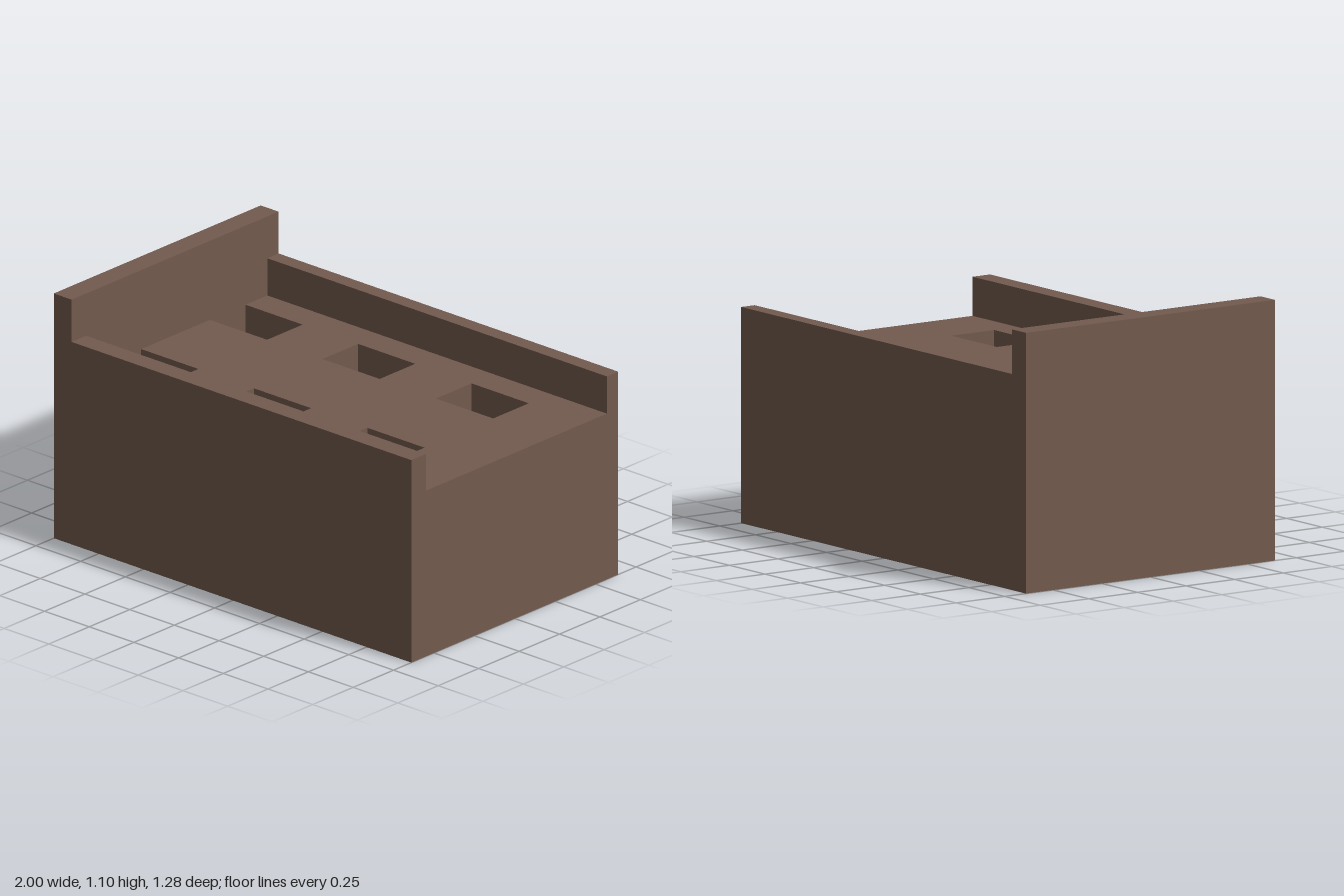
import * as THREE from 'three';

const FLOOR = 0.745, PIT_BOTTOM = 0.25, HALF_DEPTH = 0.64;
const HOLE_X = [[-0.9, -0.58], [-0.27, 0.05], [0.365, 0.685]];
const BACK_Z = [-0.435, -0.215], FRONT_Z = [0.21, 0.43];

const material = new THREE.MeshStandardMaterial({ color: 0x735a4e, flatShading: true });

// Rectangle in plan; shape y is -z
function rect(path, x0, x1, z0, z1) {
  path.moveTo(x0, -z1);
  path.lineTo(x1, -z1);
  path.lineTo(x1, -z0);
  path.lineTo(x0, -z0);
  path.closePath();
  return path;
}

// Horizontal slab between two heights, pierced by rows of holes
function slab(name, y0, y1, rows) {
  const shape = rect(new THREE.Shape(), -1, 1, -HALF_DEPTH, HALF_DEPTH);
  for (const [z0, z1] of rows)
    for (const [x0, x1] of HOLE_X) shape.holes.push(rect(new THREE.Path(), x0, x1, z0, z1));
  const geometry = new THREE.ExtrudeGeometry(shape, { depth: y1 - y0, bevelEnabled: false });
  geometry.rotateX(-Math.PI / 2).translate(0, y0, 0);
  const mesh = new THREE.Mesh(geometry, material);
  mesh.name = name;
  return mesh;
}

// Box given by its limits on each axis
function wall(name, x0, x1, y0, y1, z0, z1) {
  const mesh = new THREE.Mesh(new THREE.BoxGeometry(x1 - x0, y1 - y0, z1 - z0), material);
  mesh.position.set((x0 + x1) / 2, (y0 + y1) / 2, (z0 + z1) / 2);
  mesh.name = name;
  return mesh;
}

export function createModel() {
  const group = new THREE.Group();
  group.name = 'blockWithSockets';
  group.add(
    // Back holes go right through, front ones are blind
    slab('base', 0, PIT_BOTTOM, [BACK_Z]),
    slab('body', PIT_BOTTOM, FLOOR, [BACK_Z, FRONT_Z]),
    // Raised rim, open on the left end
    wall('endWall', -1, -0.9, FLOOR, 1.1, -HALF_DEPTH, HALF_DEPTH),
    wall('frontWall', -0.9, 1, FLOOR, 0.91, 0.55, HALF_DEPTH),
    wall('backWall', -0.9, 1, FLOOR, 0.912, -HALF_DEPTH, -0.57)
  );
  return group;
}
